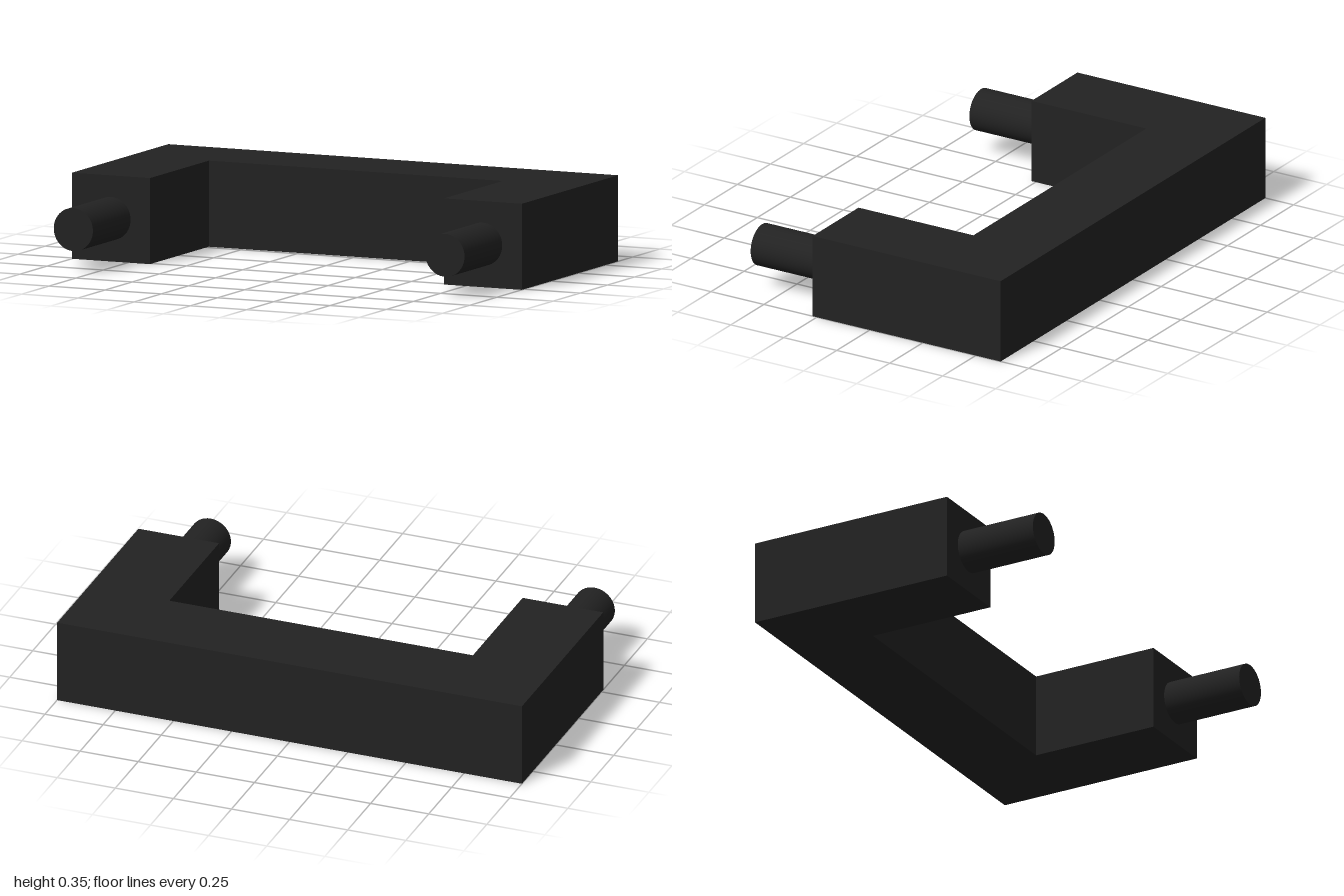
import * as THREE from 'three';

const HEIGHT = 0.348;
const BACK = -0.617, SHOULDER = 0.27, TIP = 0.617;
const INNER_X = 0.653, INNER_Z = -0.272;
const PIN_X = 0.826, PIN_RADIUS = 0.087;

export function createModel() {
  const model = new THREE.Group();
  model.name = 'pullHandle';
  const material = new THREE.MeshStandardMaterial({ color: 0x222222 });

  // U-shaped grip: plan outline (x, z) extruded through its height
  const outline = new THREE.Shape([
    [-1, BACK], [1, BACK], [1, SHOULDER], [INNER_X, SHOULDER],
    [INNER_X, INNER_Z], [-INNER_X, INNER_Z], [-INNER_X, SHOULDER], [-1, SHOULDER],
  ].map(([x, z]) => new THREE.Vector2(x, z)));
  const gripGeometry = new THREE.ExtrudeGeometry(outline, { depth: HEIGHT, bevelEnabled: false });
  gripGeometry.rotateX(Math.PI / 2).translate(0, HEIGHT, 0);
  const grip = new THREE.Mesh(gripGeometry, material);
  grip.name = 'grip';
  model.add(grip);

  // Round mounting pins on the end of each arm
  const pinLength = TIP - SHOULDER;
  const pinGeometry = new THREE.CylinderGeometry(PIN_RADIUS, PIN_RADIUS, pinLength, 48);
  pinGeometry.rotateX(Math.PI / 2);
  for (const [name, side] of [['leftPin', 1], ['rightPin', -1]]) {
    const pin = new THREE.Mesh(pinGeometry, material);
    pin.name = name;
    pin.position.set(side * PIN_X, HEIGHT / 2, SHOULDER + pinLength / 2);
    model.add(pin);
  }
  return model;
}
